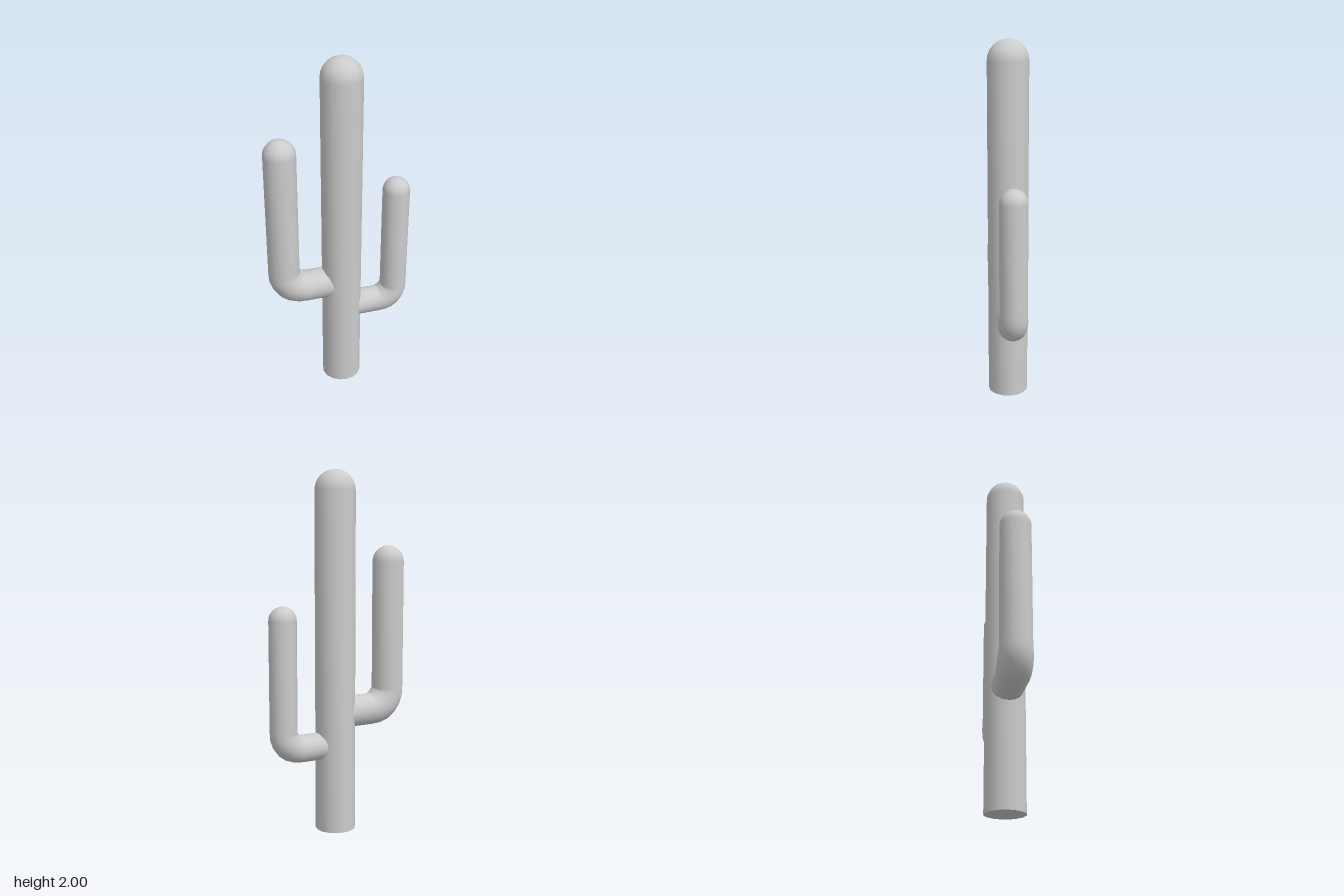
import * as THREE from 'three';
import { mergeVertices } from 'three/addons/utils/BufferGeometryUtils.js';

const SIDES = 16;
const TRUNK_X = 0.015;
const material = new THREE.MeshStandardMaterial({ color: 0xcccccc });

// Round-topped column standing on y = 0; extra rings go at the given heights
function domedColumn(radius, height, ringHeights = []) {
  const shoulder = height - radius;
  const profile = [0, ...ringHeights, shoulder].map((y) => new THREE.Vector2(radius, y));
  const steps = 6;
  for (let i = 1; i <= steps; i++) {
    const a = (i / steps) * Math.PI / 2;
    profile.push(new THREE.Vector2(i === steps ? 0 : radius * Math.cos(a), shoulder + radius * Math.sin(a)));
  }
  return new THREE.LatheGeometry(profile, SIDES);
}

// Weld the seam and recompute smooth normals
function smooth(geometry) {
  geometry.deleteAttribute('normal');
  geometry.deleteAttribute('uv');
  const welded = mergeVertices(geometry, 1e-5);
  welded.computeVertexNormals();
  return welded;
}

// Arm: a domed column bent from horizontal to vertical. side is +1 or -1
function armGeometry({ side, radius, reach, y, bend, top }) {
  const straight = reach - bend;
  const arc = bend * Math.PI / 2;
  const length = straight + arc + (top - y - bend);
  const segments = 6;
  const rings = Array.from({ length: segments + 1 }, (_, i) => straight + (arc * i) / segments);
  const geometry = domedColumn(radius, length, rings);
  const pos = geometry.attributes.position;
  for (let i = 0; i < pos.count; i++) {
    const s = pos.getY(i);
    const angle = THREE.MathUtils.clamp((s - straight) / bend, 0, Math.PI / 2);
    const rise = Math.max(0, s - straight - arc);
    const swell = 1 + 0.07 * Math.sin(2 * angle); // slightly fuller elbow
    const offset = pos.getX(i) * swell;
    const run = Math.min(s, straight) + bend * Math.sin(angle);
    pos.setXYZ(
      i,
      TRUNK_X + side * run + offset * Math.sin(angle),
      y + bend * (1 - Math.cos(angle)) + rise - side * offset * Math.cos(angle),
      pos.getZ(i) * swell
    );
  }
  return smooth(geometry);
}

function addPart(group, name, geometry) {
  const mesh = new THREE.Mesh(geometry, material);
  mesh.name = name;
  group.add(mesh);
  return mesh;
}

export function createModel() {
  const cactus = new THREE.Group();
  cactus.name = 'cactus';

  // Trunk and its flat underside
  addPart(cactus, 'trunk', smooth(domedColumn(0.112, 2))).position.x = TRUNK_X;
  const base = addPart(cactus, 'trunkBase', new THREE.CircleGeometry(0.112, SIDES));
  base.rotation.x = Math.PI / 2;
  base.position.x = TRUNK_X;

  // Upturned arms
  addPart(cactus, 'rightArm', armGeometry({ side: -1, radius: 0.089, reach: 0.336, y: 0.665, bend: 0.12, top: 1.59 }));
  addPart(cactus, 'leftArm', armGeometry({ side: 1, radius: 0.076, reach: 0.316, y: 0.485, bend: 0.1, top: 1.275 }));

  return cactus;
}
